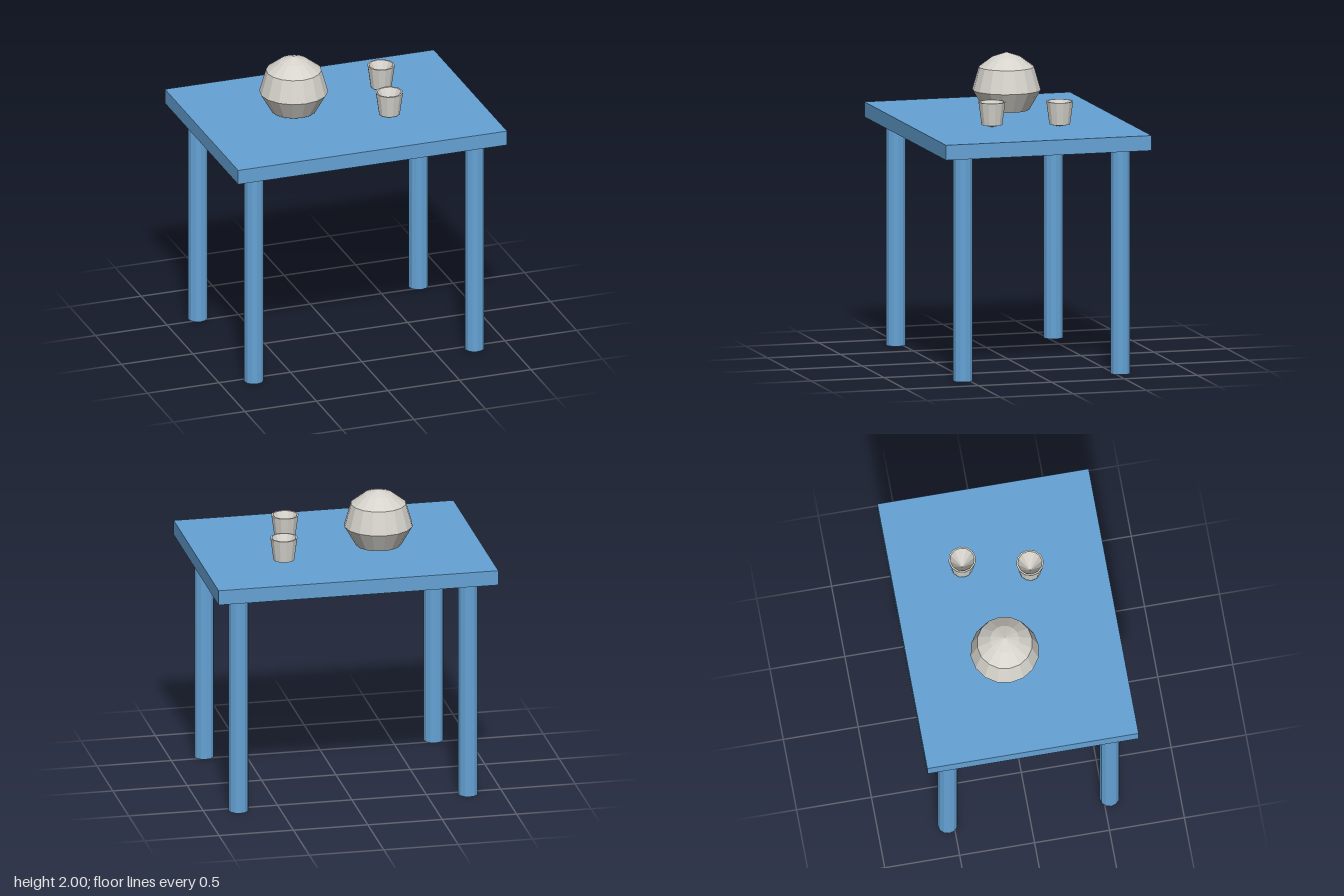
import * as THREE from 'three';

export function createModel() {
  const blue = new THREE.MeshStandardMaterial({ color: 0x65a3d6, flatShading: true });
  blue.name = 'blue paint';
  const clay = new THREE.MeshStandardMaterial({ color: 0xd6d3cc, flatShading: true, side: THREE.DoubleSide });
  clay.name = 'pale clay';

  const group = new THREE.Group();
  group.name = 'tableWithPotAndCups';

  const add = (name, geometry, material, x, y, z) => {
    const mesh = new THREE.Mesh(geometry, material);
    mesh.name = name;
    mesh.position.set(x, y, z);
    group.add(mesh);
  };
  const lathe = (points, sides) =>
    new THREE.LatheGeometry(points.map(([r, y]) => new THREE.Vector2(r, y)), sides);

  // Table top
  add('tableTop', new THREE.BoxGeometry(1.88, 0.1, 1.41), blue, 0, 1.55, 0);

  // Four round legs
  const legGeometry = new THREE.CylinderGeometry(0.066, 0.066, 1.5, 12);
  for (const [sideName, sx] of [['Left', 1], ['Right', -1]]) {
    for (const [endName, sz] of [['front', 1], ['back', -1]]) {
      add(`${endName}${sideName}Leg`, legGeometry, blue, sx * 0.771, 0.75, sz * 0.54);
    }
  }

  // Faceted pot with a domed lid
  const potProfile = [[0, 0], [0.15, 0.017], [0.227, 0.15], [0.183, 0.302], [0.095, 0.368], [0, 0.4]];
  add('pot', lathe(potProfile, 16), clay, -0.27, 1.6, -0.07);

  // Tapered cups, hollow down to a point
  const cupProfile = [[0, 0], [0.07, 0.016], [0.091, 0.168], [0.08, 0.168], [0, 0.02]];
  const cupGeometry = lathe(cupProfile, 12);
  add('frontCup', cupGeometry, clay, 0.3, 1.6, 0.2);
  add('backCup', cupGeometry, clay, 0.4, 1.6, -0.235);

  return group;
}
